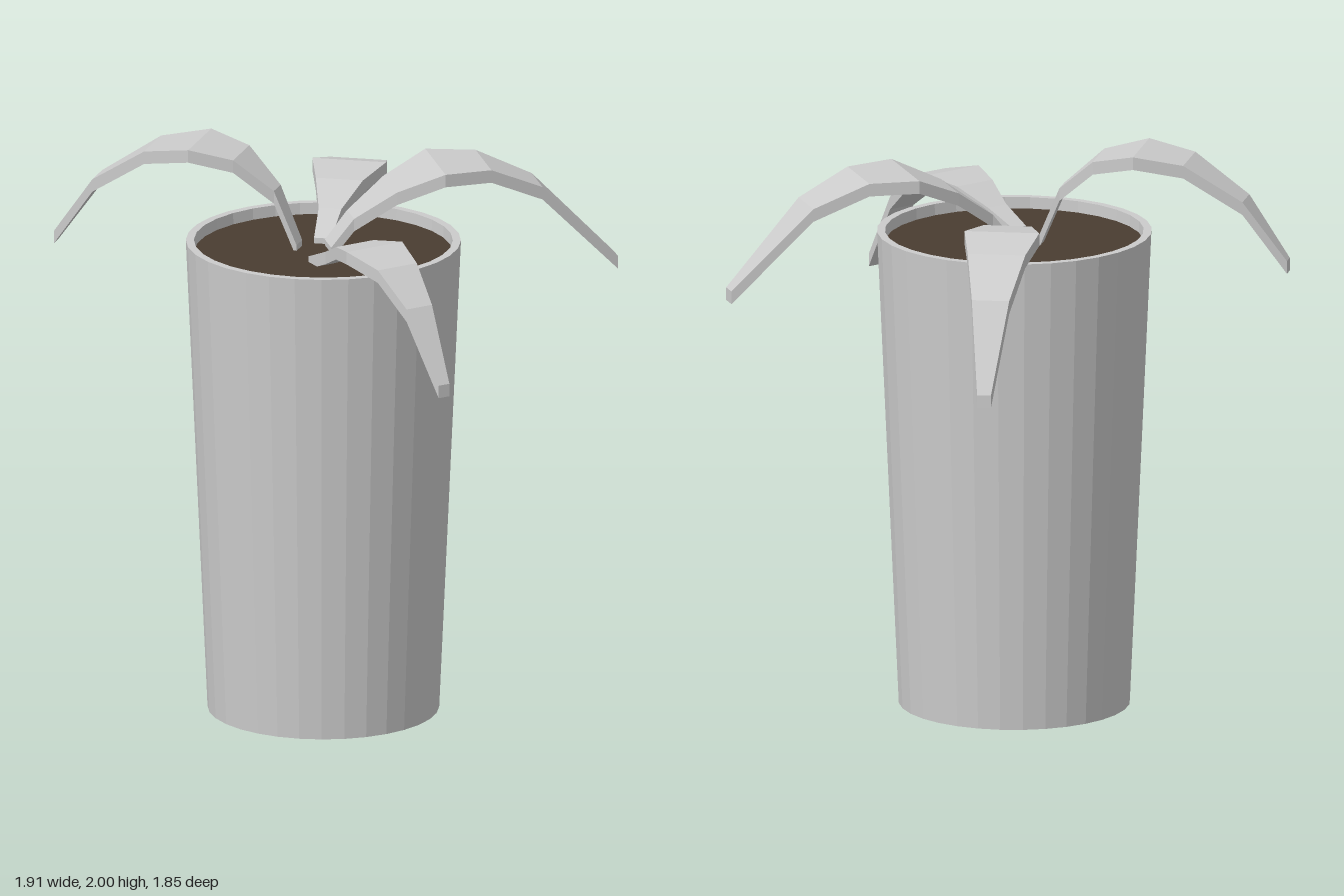
import * as THREE from 'three';

const grey = new THREE.MeshStandardMaterial({ color: 0xcccccc, flatShading: true });
const brown = new THREE.MeshStandardMaterial({ color: 0x4a3d31, flatShading: true });
const THICKNESS = 0.045;

// Arching leaf: a rectangular section swept from base to tip.
// Each station is [distance from base, height of top face, half width].
function makeLeaf(name, [bx, bz], [tx, tz], stations) {
  const length = Math.hypot(tx - bx, tz - bz);
  const dx = (tx - bx) / length, dz = (tz - bz) / length;
  const positions = [], index = [];
  for (const [s, y, w] of stations) {
    const x = bx + dx * s, z = bz + dz * s;
    for (const [side, drop] of [[1, 0], [-1, 0], [-1, THICKNESS], [1, THICKNESS]]) {
      positions.push(x - dz * w * side, y - drop, z + dx * w * side);
    }
  }
  const last = (stations.length - 1) * 4;
  for (let i = 0; i < last; i += 4) {
    for (let k = 0; k < 4; k++) {
      const a = i + k, b = i + 4 + k, c = i + 4 + (k + 1) % 4, d = i + (k + 1) % 4;
      index.push(a, b, c, a, c, d);
    }
  }
  // End caps
  index.push(0, 1, 2, 0, 2, 3);
  index.push(last, last + 2, last + 1, last, last + 3, last + 2);

  const geometry = new THREE.BufferGeometry();
  geometry.setAttribute('position', new THREE.Float32BufferAttribute(positions, 3));
  geometry.setIndex(index);
  geometry.computeVertexNormals();
  const mesh = new THREE.Mesh(geometry, grey);
  mesh.name = name;
  return mesh;
}

export function createModel() {
  const model = new THREE.Group();
  model.name = 'pottedPlant';

  // Tapered pot with a thin rim
  const profile = [[0, 0], [0.4, 0], [0.475, 1.68], [0.447, 1.68], [0.444, 1.6]];
  const pot = new THREE.Mesh(
    new THREE.LatheGeometry(profile.map(([r, y]) => new THREE.Vector2(r, y)), 32), grey);
  pot.name = 'pot';
  pot.position.set(-0.09, 0, 0.05);

  // Soil just below the rim
  const soil = new THREE.Mesh(new THREE.CylinderGeometry(0.445, 0.444, 0.04, 32), brown);
  soil.name = 'soil';
  soil.position.set(-0.09, 1.62, 0.05);
  model.add(pot, soil);

  // Four drooping leaves
  model.add(
    makeLeaf('leftLeaf', [-0.07, 0.03], [0.95, -0.01], [
      [0, 1.66, 0.05], [0.08, 1.76, 0.055], [0.22, 1.86, 0.105], [0.38, 1.93, 0.16],
      [0.55, 1.925, 0.125], [0.74, 1.84, 0.085], [1.02, 1.555, 0.03]]),
    makeLeaf('rightLeaf', [-0.165, 0], [-0.942, -0.407], [
      [0, 1.66, 0.033], [0.08, 1.85, 0.04], [0.21, 1.965, 0.095], [0.36, 2.0, 0.135],
      [0.53, 1.97, 0.1], [0.73, 1.84, 0.057], [0.88, 1.63, 0.024]]),
    makeLeaf('backLeaf', [-0.077, -0.037], [0.287, -0.92], [
      [0, 1.66, 0.03], [0.125, 1.73, 0.04], [0.28, 1.79, 0.083], [0.445, 1.81, 0.13],
      [0.6, 1.77, 0.1], [0.77, 1.65, 0.065], [0.956, 1.36, 0.024]]),
    makeLeaf('frontLeaf', [-0.137, 0.155], [0.175, 0.91], [
      [0, 1.66, 0.029], [0.125, 1.71, 0.04], [0.25, 1.765, 0.077], [0.375, 1.785, 0.114],
      [0.52, 1.75, 0.08], [0.66, 1.64, 0.052], [0.817, 1.4, 0.022]]));

  return model;
}
